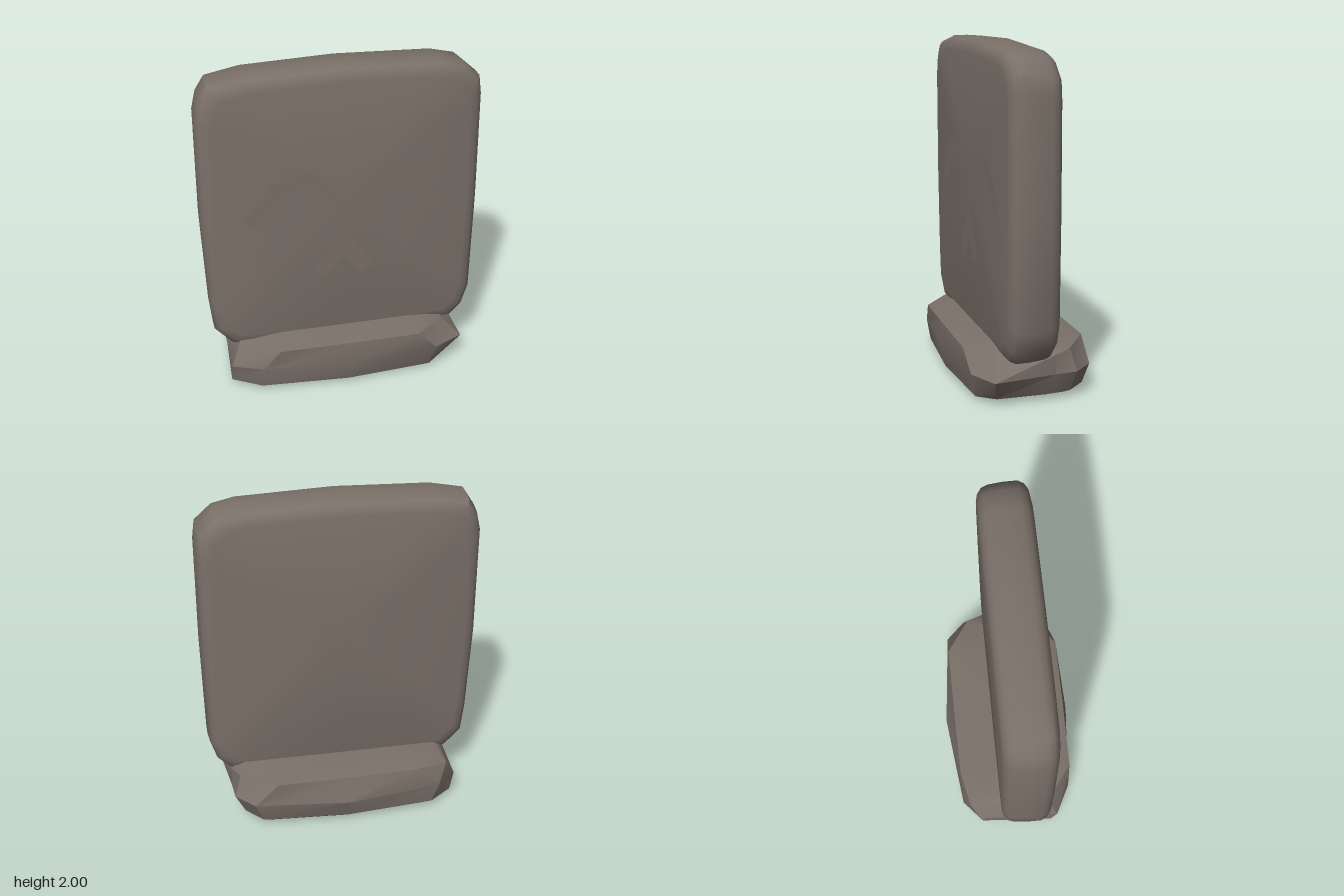
import * as THREE from 'three';
import { toCreasedNormals } from 'three/addons/utils/BufferGeometryUtils.js';

// Skins equal-length rings of [x, y, z] points and closes both ends.
function loft(rings, crease) {
  const n = rings[0].length;
  const points = rings.flat();
  const index = [];
  for (let i = 0; i < rings.length - 1; i++) {
    for (let j = 0; j < n; j++) {
      const k = (j + 1) % n;
      const a = i * n + j, b = i * n + k, c = b + n, d = a + n;
      index.push(a, b, c, a, c, d);
    }
  }
  const middle = (ring) => [0, 1, 2].map((axis) => ring.reduce((s, p) => s + p[axis], 0) / n);
  const first = points.length, last = first + 1, top = (rings.length - 1) * n;
  points.push(middle(rings[0]), middle(rings[rings.length - 1]));
  for (let j = 0; j < n; j++) {
    const k = (j + 1) % n;
    index.push(first, k, j, last, top + j, top + k);
  }
  const geometry = new THREE.BufferGeometry();
  geometry.setAttribute('position', new THREE.Float32BufferAttribute(points.flat(), 3));
  geometry.setIndex(index);
  return toCreasedNormals(geometry, crease);
}

export function createModel() {
  const group = new THREE.Group();
  const stone = new THREE.MeshStandardMaterial({ color: 0x7a7068 });
  stone.name = 'stone';
  const add = (name, geometry) => {
    const mesh = new THREE.Mesh(geometry, stone);
    mesh.name = name;
    group.add(mesh);
  };

  // Upright slab: a worn outline, drawn in towards the front and back faces
  const outline = [
    [0.82, 1.1], [0.815, 1.75], [0.80, 1.86], [0.70, 1.95], [0.57, 1.98], [0, 2],
    [-0.55, 1.98], [-0.75, 1.94], [-0.80, 1.86], [-0.825, 1.75], [-0.825, 1.1],
    [-0.80, 0.55], [-0.78, 0.37], [-0.68, 0.26], [0, 0.24], [0.70, 0.26], [0.77, 0.33], [0.81, 0.46],
  ];
  const slabLevels = [
    [-0.10, 0.08], [-0.09, 0.045], [-0.065, 0.018], [-0.03, 0.007],
    [0.06, 0], [0.14, 0], [0.175, 0.015], [0.197, 0.042], [0.206, 0.08],
  ];
  add('slab', loft(slabLevels.map(([z, inset]) => outline.map(([x, y]) => [
    x * (1 - inset / 0.82), 1.12 + (y - 1.12) * (1 - inset / 0.88), z,
  ])), 0.75));

  // Rough plinth: chipped rings from the ground up, as [x, y, z]
  const under = [
    [0.57, 0.01, -0.08], [0.56, 0.01, -0.19], [0.47, 0.01, -0.29], [0, 0.005, -0.32],
    [-0.47, 0.01, -0.29], [-0.60, 0.015, -0.20], [-0.64, 0.015, 0.18],
    [-0.50, 0.01, 0.29], [0, 0, 0.32], [0.46, 0, 0.29], [0.55, 0.005, 0.20],
  ];
  const foot = [
    [0.64, 0.04, -0.09], [0.62, 0.04, -0.21], [0.52, 0.04, -0.32], [0, 0.035, -0.355],
    [-0.53, 0.04, -0.32], [-0.67, 0.04, -0.22], [-0.70, 0.035, 0.22],
    [-0.53, 0.035, 0.325], [0, 0.03, 0.36], [0.52, 0.025, 0.32], [0.62, 0.035, 0.23],
  ];
  const belt = [
    [0.69, 0.17, -0.10], [0.68, 0.17, -0.23], [0.57, 0.17, -0.345], [0, 0.16, -0.40],
    [-0.57, 0.17, -0.335], [-0.69, 0.17, -0.23], [-0.70, 0.16, 0.26],
    [-0.52, 0.17, 0.35], [0, 0.17, 0.395], [0.55, 0.17, 0.355], [0.735, 0.17, 0.27],
  ];
  const rim = [
    [0.68, 0.28, -0.10], [0.64, 0.30, -0.20], [0.43, 0.305, -0.345], [0, 0.305, -0.342],
    [-0.41, 0.305, -0.335], [-0.62, 0.30, -0.29], [-0.64, 0.285, 0.20],
    [-0.42, 0.295, 0.365], [0, 0.295, 0.37], [0.43, 0.295, 0.37], [0.62, 0.285, 0.22],
  ];
  const top = rim.map(([x, y, z]) => [x * 0.92, 0.325, z * 0.55]);
  add('base', loft([under, foot, belt, rim, top], 0.5));

  // Carved sign: one half mirrored into a closed outline
  const half = [
    [0, 1.21], [0.04, 1.25], [0.19, 1.40], [0.42, 1.335], [0.59, 1.11], [0.52, 1.06], [0.37, 1.255],
    [0.21, 1.31], [0.05, 1.15], [0.05, 0.91], [0.18, 0.75], [0.11, 0.69], [0, 0.82],
  ];
  const mirrored = half.slice(1, -1).reverse().map(([x, y]) => [-x, y]);
  const sign = new THREE.Shape([...half, ...mirrored].map(([x, y]) => new THREE.Vector2(x, y)));
  add('carvedSign', new THREE.ShapeGeometry(sign).translate(0, 0, 0.209));

  return group;
}
